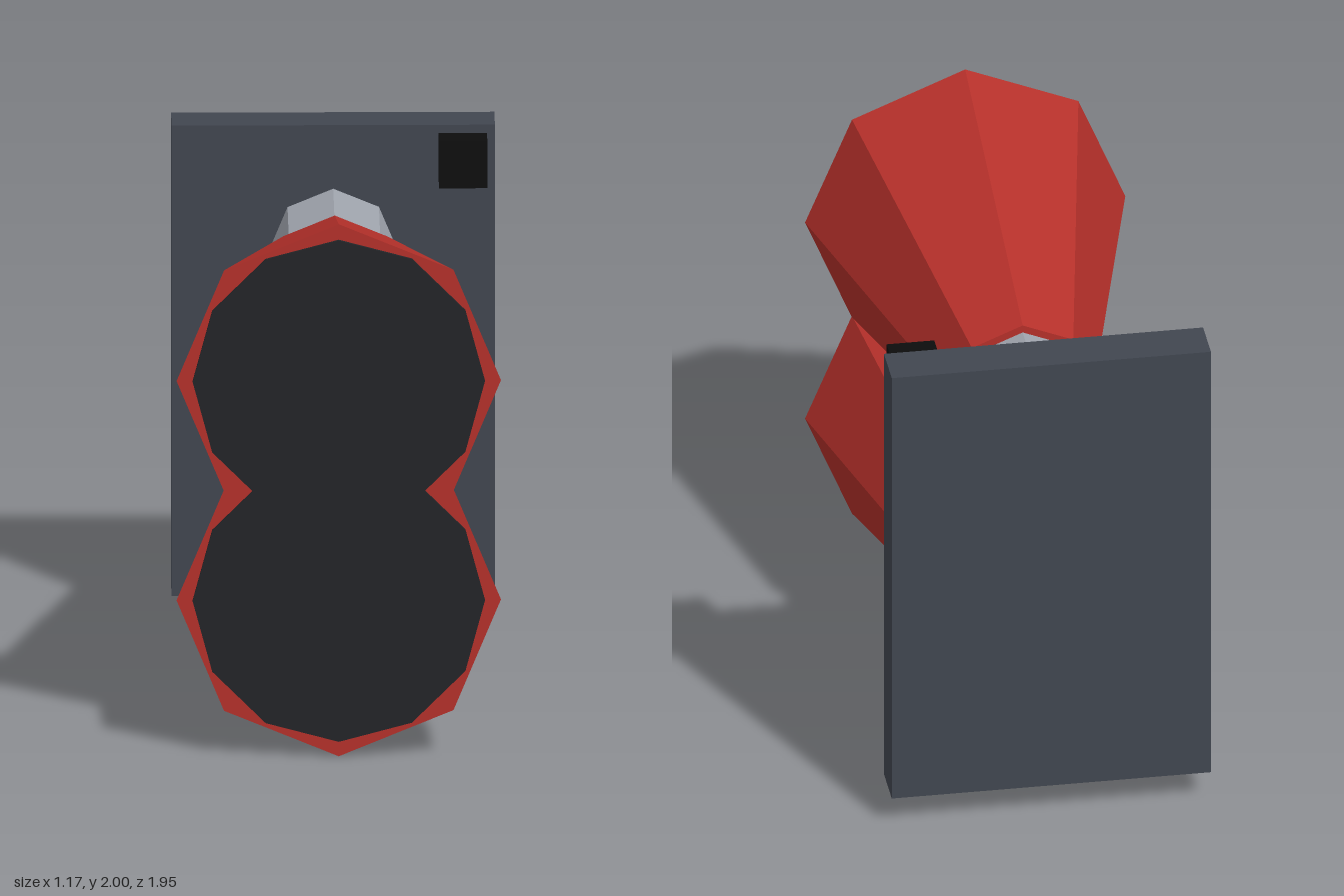
import * as THREE from 'three';

const paint = (color) => new THREE.MeshStandardMaterial({ color, flatShading: true });

export function createModel() {
  const group = new THREE.Group();
  const red = paint(0xb5302a);
  const slate = paint(0x414650);
  const steel = paint(0x9fa4ad);
  const dark = paint(0x222427);
  const black = paint(0x0c0c0c);

  function add(name, geometry, material, x, y, z) {
    const mesh = new THREE.Mesh(geometry, material);
    mesh.name = name;
    mesh.position.set(x, y, z);
    group.add(mesh);
  }

  // Faceted cylinder or cone along z, with a corner pointing up
  function barrel(name, rFront, rBack, zBack, zFront, sides, material, y) {
    const geometry = new THREE.CylinderGeometry(rFront, rBack, zFront - zBack, sides);
    geometry.rotateX(Math.PI / 2);
    add(name, geometry, material, 0, y, (zFront + zBack) / 2);
  }

  // Mounting plate at the back, with a small block near its upper left corner
  add('backPlate', new THREE.BoxGeometry(1.17, 1.765, 0.176), slate, 0, 1.003, -0.888);
  add('cornerBlock', new THREE.BoxGeometry(0.175, 0.175, 0.175), black, 0.469, 1.767, -0.77);

  // Two stacked horns, each with a neck and a dark front disc
  for (const [side, y] of [['upper', 1.413], ['lower', 0.59]]) {
    barrel(side + 'Neck', 0.234, 0.234, -0.82, -0.3, 8, steel, y);
    barrel(side + 'Horn', 0.587, 0.263, -0.33, 0.963, 8, red, y);
    barrel(side + 'FrontDisc', 0.529, 0.529, 0.93, 0.977, 12, dark, y);
  }

  return group;
}
